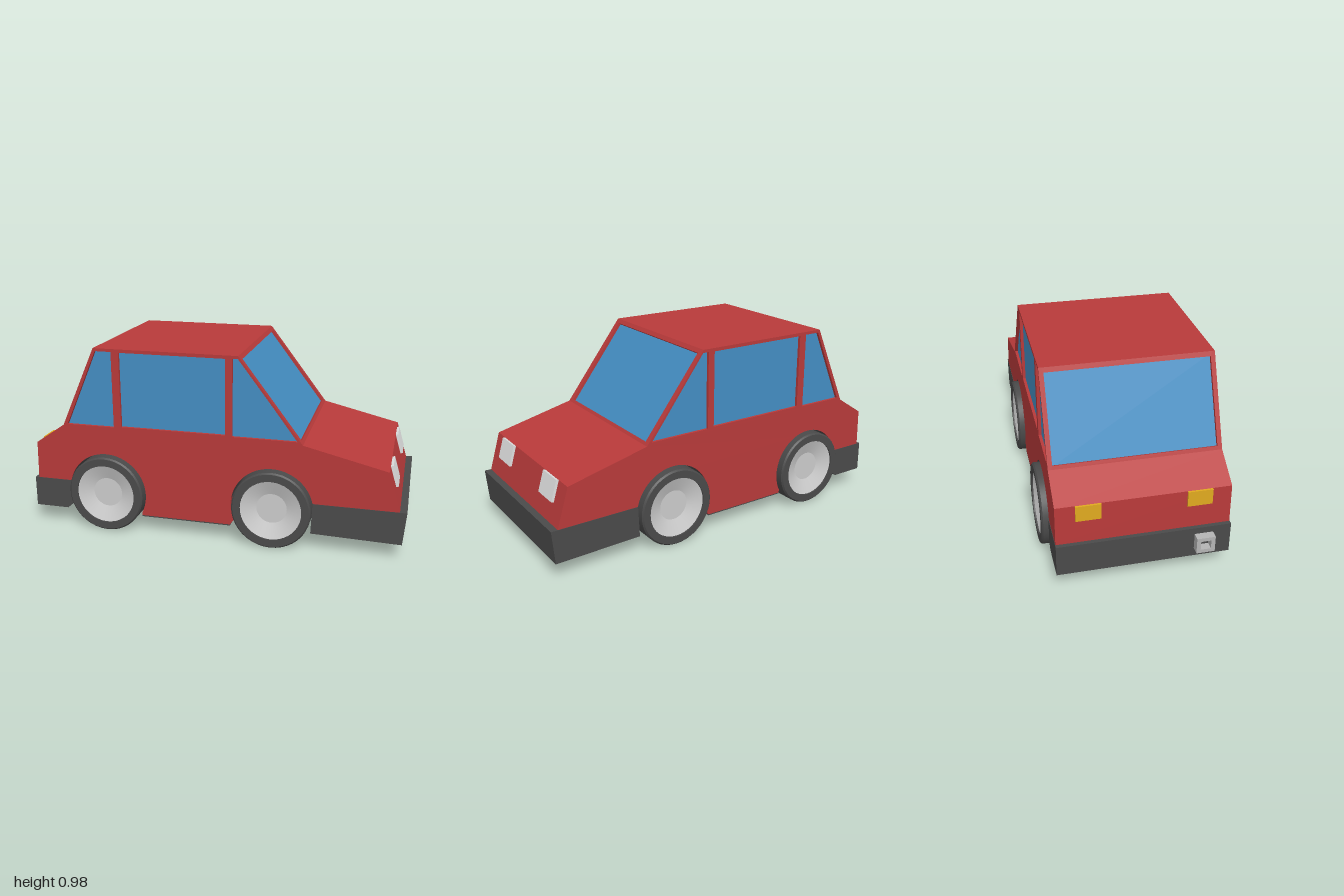
import * as THREE from 'three';
import { toCreasedNormals } from 'three/addons/utils/BufferGeometryUtils.js';

const mat = (name, color) => Object.assign(new THREE.MeshStandardMaterial({ color }), { name });

export function createModel() {
  const car = new THREE.Group();
  car.name = 'car';
  const red = mat('body red', 0xb83a3a);
  const blue = mat('window blue', 0x448ec3);
  const dark = mat('dark grey', 0x4a4a4a);
  const liner = mat('arch liner grey', 0x4a4a4a);
  liner.side = THREE.DoubleSide;
  const silver = mat('hub silver', 0xcccccc);
  const white = mat('headlight white', 0xe0e0e0);
  const amber = mat('tail light amber', 0xe0aa20);
  const steel = mat('exhaust steel', 0xb4b4b4);

  const HALF = 0.415, SKIN = 0.015, AXLE_Y = 0.2025, ARCH_R = 0.212;
  const AXLES = [0.335, -0.545];

  const add = (name, geo, material, x = 0, y = 0, z = 0, parent = car) => {
    const m = new THREE.Mesh(geo, material);
    m.name = name;
    m.position.set(x, y, z);
    parent.add(m);
    return m;
  };
  const box = (name, material, w, h, d, x, y, z) =>
    add(name, new THREE.BoxGeometry(w, h, d), material, x, y, z);
  const poly = pts => new THREE.Shape(pts.map(p => new THREE.Vector2(...p)));
  const extrude = (shape, depth) =>
    new THREE.ExtrudeGeometry(shape, { depth, bevelEnabled: false, curveSegments: 24 });
  const across = (shape, half) => extrude(shape, half * 2).translate(0, 0, -half);

  // Lower body with open wheel arches
  const body = new THREE.Shape();
  body.moveTo(-0.94, 0.25);
  body.lineTo(-0.935, 0.45);
  body.lineTo(-0.78, 0.55);
  body.lineTo(0.485, 0.55);
  body.lineTo(0.905, 0.45);
  body.lineTo(0.965, 0.25);
  body.absarc(AXLES[0], AXLE_Y, ARCH_R, 0.226, Math.PI + 0.403, false);
  body.lineTo(0.12, 0.09);
  body.lineTo(-0.355, 0.09);
  body.absarc(AXLES[1], AXLE_Y, ARCH_R, -0.459, Math.PI - 0.226, false);
  add('lowerBody', across(body, HALF), red);
  box('floor', dark, 0.475, 0.006, HALF * 2, -0.1175, 0.088, 0);

  // Bumpers
  add('frontBumper', across(poly([[0.535, 0.09], [0.985, 0.08], [1, 0.25], [0.542, 0.25]]), HALF + 0.002), dark);
  add('rearBumper', across(poly([[-0.96, 0.09], [-0.78, 0.09], [-0.745, 0.12], [-0.75, 0.25], [-0.96, 0.25]]), HALF + 0.002), dark);

  // Cabin: glass core behind a red frame
  const core = poly([[-0.764, 0.55], [0.466, 0.55], [0.152, 0.96], [-0.58, 0.96]]);
  add('windowGlass', across(core, HALF - SKIN), blue);
  const side = poly([[-0.78, 0.55], [0.485, 0.55], [0.16, 0.975], [-0.59, 0.975]]);
  side.holes.push(
    poly([[-0.752, 0.565], [-0.495, 0.565], [-0.495, 0.96], [-0.58, 0.96]]),
    poly([[-0.455, 0.57], [0.095, 0.57], [0.095, 0.958], [-0.455, 0.958]]),
    poly([[0.13, 0.565], [0.458, 0.565], [0.163, 0.96], [0.13, 0.96]]),
  );
  for (const s of [-1, 1])
    add(s > 0 ? 'nearSideFrame' : 'farSideFrame', extrude(side, SKIN), red, 0, 0, s > 0 ? HALF - SKIN : -HALF);
  box('roof', red, 0.75, SKIN, (HALF - SKIN) * 2, -0.215, 0.975 - SKIN / 2, 0);

  // Sloping window frame between two profile points; dir is +1 for the front, -1 for the rear
  const slopedFrame = (name, [x0, y0], [x1, y1], dir, halfHole) => {
    const len = Math.hypot(x1 - x0, y1 - y0), w = HALF - SKIN;
    const u = new THREE.Vector3(x1 - x0, y1 - y0, 0).divideScalar(len);
    const n = new THREE.Vector3(u.y * dir, -u.x * dir, 0);
    const frame = poly([[-w, 0], [w, 0], [w, len], [-w, len]]);
    const lo = 0.018, hi = len - 0.024;
    frame.holes.push(poly([[-halfHole, lo], [halfHole, lo], [halfHole, hi], [-halfHole, hi]]));
    const basis = new THREE.Matrix4().makeBasis(new THREE.Vector3().crossVectors(u, n), u, n);
    basis.setPosition(x0 - n.x * SKIN, y0 - n.y * SKIN, 0);
    add(name, extrude(frame, SKIN).applyMatrix4(basis), red);
  };
  slopedFrame('windscreenFrame', [0.485, 0.55], [0.16, 0.975], 1, 0.385);
  slopedFrame('rearWindowFrame', [-0.78, 0.55], [-0.59, 0.975], -1, 0.393);

  // Lights
  for (const s of [-1, 1]) {
    box('headlight', white, 0.024, 0.11, 0.145, 0.922, 0.397, s * 0.252).rotation.z = 0.29;
    box('tailLight', amber, 0.012, 0.08, 0.12, -0.939, 0.41, s * 0.262);
  }

  // Square exhaust pipe
  const pipe = poly([[-0.045, -0.042], [0.045, -0.042], [0.045, 0.042], [-0.045, 0.042]]);
  pipe.holes.push(poly([[-0.025, -0.023], [0.025, -0.023], [0.025, 0.023], [-0.025, 0.023]]));
  add('exhaust', extrude(pipe, 0.05).rotateY(-Math.PI / 2), steel, -0.95, 0.175, 0.285);

  // Wheels and arch liners
  const lathe = pts => toCreasedNormals(
    new THREE.LatheGeometry(pts.map(p => new THREE.Vector2(...p)), 40).rotateX(Math.PI / 2), 0.5);
  const tyre = lathe([[0, -0.165], [0.195, -0.165], [0.2025, -0.157], [0.2025, -0.008], [0.195, 0], [0.157, 0], [0.157, -0.02]]);
  const rim = lathe([[0.157, -0.008], [0.078, -0.038]]);
  const hub = lathe([[0.078, -0.038], [0, -0.038]]);
  const arch = new THREE.CylinderGeometry(ARCH_R - 0.001, ARCH_R - 0.001, HALF * 2 - 0.004, 40, 1, true, Math.PI - 1.4, 2.8)
    .rotateX(Math.PI / 2);
  for (const x of AXLES) {
    add('wheelArchLiner', arch, liner, x, AXLE_Y, 0);
    for (const s of [-1, 1]) {
      const wheel = new THREE.Group();
      wheel.name = x > 0 ? 'frontWheel' : 'rearWheel';
      add('tyre', tyre, dark, 0, 0, 0, wheel);
      add('rim', rim, silver, 0, 0, 0, wheel);
      add('hub', hub, silver, 0, 0, 0, wheel);
      wheel.position.set(x, AXLE_Y, s * 0.45);
      if (s < 0) wheel.rotation.y = Math.PI;
      car.add(wheel);
    }
  }
  return car;
}
